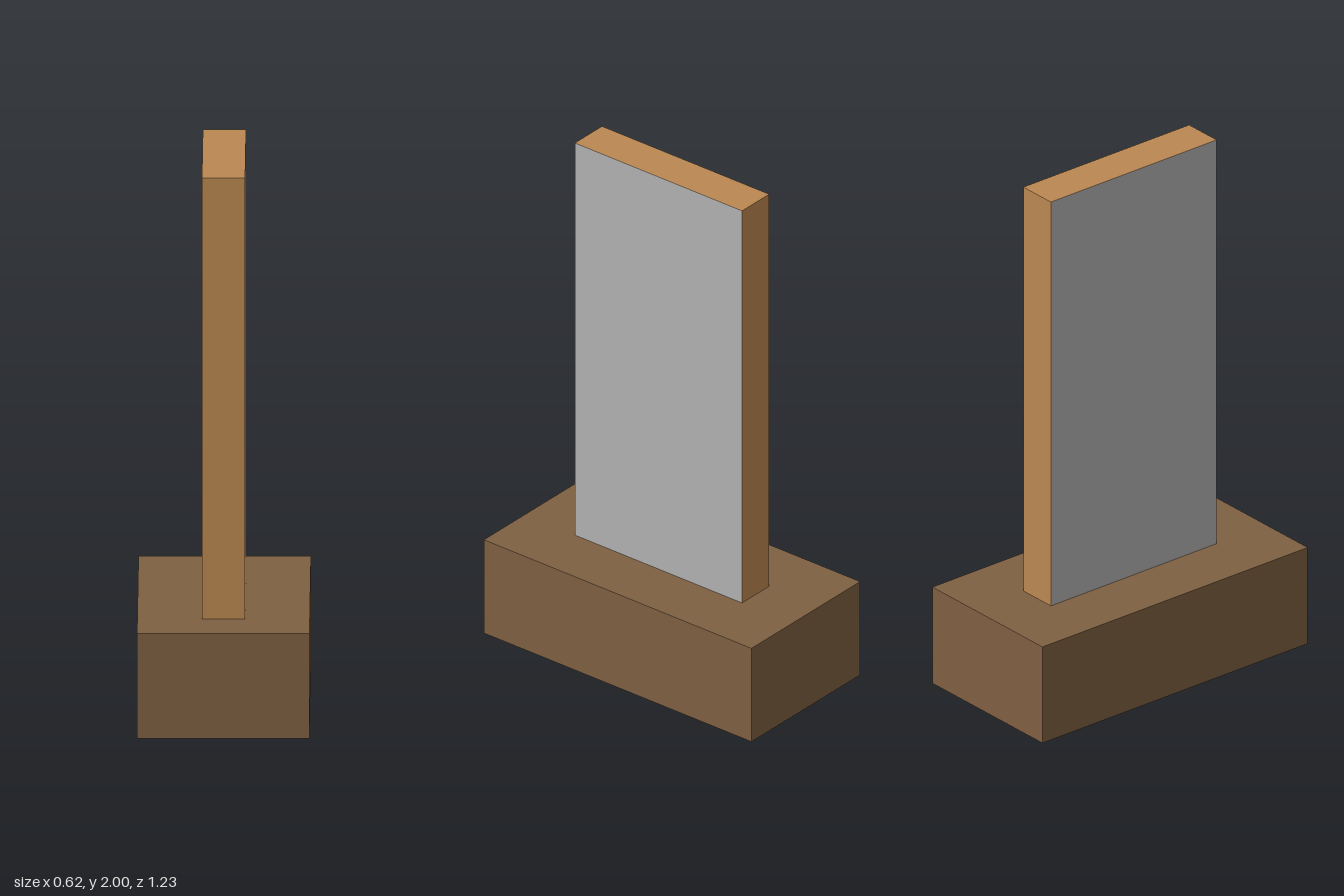
import * as THREE from 'three';

const U = 2 / 26; // one modelling unit: the whole is 26 units tall

export function createModel() {
  const group = new THREE.Group();

  const mat = (name, color) => {
    const m = new THREE.MeshStandardMaterial({ color });
    m.name = name;
    return m;
  };
  const darkWood = mat('dark wood', 0x7f6042);
  const lightWood = mat('light wood', 0xbb8851);
  const grey = mat('grey', 0xb2b2b2);

  const box = (name, w, h, d, bottom, material) => {
    const mesh = new THREE.Mesh(new THREE.BoxGeometry(w * U, h * U, d * U), material);
    mesh.name = name;
    mesh.position.y = (bottom + h / 2) * U;
    group.add(mesh);
  };

  // Heavy block at the foot
  box('base', 8, 5, 16, 0, darkWood);

  // Upright board: grey broad sides, light wood edges (+x, -x, +y, -y, +z, -z)
  box('board', 2, 21, 10, 5, [grey, grey, lightWood, lightWood, lightWood, lightWood]);

  return group;
}
